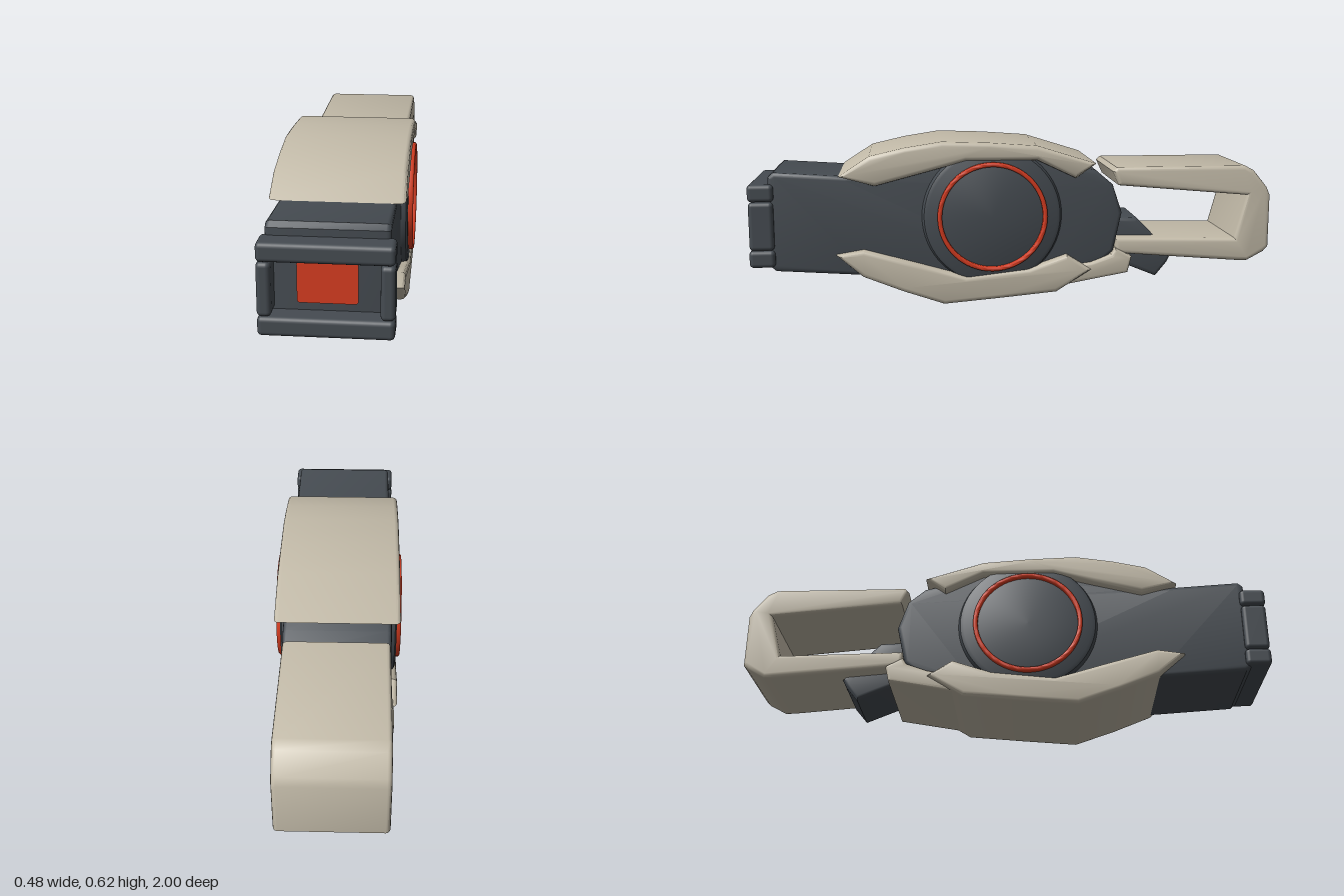
import * as THREE from 'three';
import { toCreasedNormals } from 'three/addons/utils/BufferGeometryUtils.js';
import { RoundedBoxGeometry } from 'three/addons/geometries/RoundedBoxGeometry.js';

const mat = (name, color) => {
  const m = new THREE.MeshStandardMaterial({ color });
  m.name = name;
  return m;
};

export function createModel() {
  const dark = mat('dark grey', 0x454b51);
  const cream = mat('warm cream', 0xc2baa8);
  const orange = mat('orange red', 0xd63c20);
  const model = new THREE.Group();
  model.name = 'device';

  const add = (name, geometry, material, x = 0, y = 0, z = 0) => {
    const mesh = new THREE.Mesh(geometry, material);
    mesh.name = name;
    mesh.position.set(x, y, z);
    model.add(mesh);
    return mesh;
  };

  // Side outline of [z, y] points, extruded across x with rounded edges
  const slab = (name, points, halfWidth, bevel, material) => {
    const shape = new THREE.Shape(points.map(([z, y]) => new THREE.Vector2(z, y)));
    const depth = 2 * (halfWidth - bevel);
    const g = new THREE.ExtrudeGeometry(shape, {
      depth, bevelEnabled: true, bevelThickness: bevel, bevelSize: bevel,
      bevelOffset: -bevel, bevelSegments: 3,
    });
    g.translate(0, 0, -depth / 2);
    g.rotateY(-Math.PI / 2);
    return add(name, toCreasedNormals(g, 0.6), material);
  };

  // Central body
  slab('body', [
    [0.925, 0.155], [0.925, 0.495], [0.905, 0.512], [0.64, 0.495], [0.5, 0.5],
    [0.28, 0.57], [-0.07, 0.565], [-0.31, 0.505], [-0.375, 0.45], [-0.412, 0.34],
    [-0.38, 0.19], [-0.3, 0.12], [-0.12, 0.09], [0.27, 0.06], [0.58, 0.115], [0.905, 0.137],
  ], 0.2, 0.016, dark);

  // Armour shells
  slab('upperShell', [
    [0.665, 0.497], [0.55, 0.572], [0.42, 0.602], [0.28, 0.624], [0.1, 0.618], [-0.08, 0.605],
    [-0.305, 0.535], [-0.228, 0.48], [-0.08, 0.55], [0.19, 0.55], [0.35, 0.507], [0.53, 0.46],
  ], 0.232, 0.017, cream);
  slab('lowerShell', [
    [0.678, 0.2], [0.58, 0.115], [0.43, 0.055], [0.275, 0.002], [0.06, 0.02], [-0.155, 0.04],
    [-0.29, 0.125], [-0.195, 0.185], [-0.05, 0.135], [0.19, 0.108], [0.38, 0.163], [0.575, 0.217],
  ], 0.232, 0.017, cream);
  slab('rearLowerShell', [
    [-0.13, 0.06], [-0.2, 0.066], [-0.435, 0.108], [-0.45, 0.17], [-0.385, 0.205],
    [-0.37, 0.18], [-0.29, 0.15], [-0.13, 0.13],
  ], 0.216, 0.012, cream);

  // Rear handle loop, open toward the body
  slab('handle', [
    [-0.375, 0.5], [-0.39, 0.515], [-0.895, 0.515], [-0.93, 0.497], [-0.985, 0.43],
    [-0.998, 0.4], [-0.998, 0.195], [-0.98, 0.175], [-0.915, 0.14], [-0.88, 0.14],
    [-0.39, 0.18], [-0.385, 0.24], [-0.86, 0.232], [-0.905, 0.4], [-0.4, 0.445],
  ], 0.195, 0.016, cream);

  // Trigger block passing through the lower arm
  slab('trigger', [
    [-0.38, 0.31], [-0.485, 0.306], [-0.55, 0.24], [-0.625, 0.155], [-0.61, 0.125],
    [-0.565, 0.07], [-0.43, 0.125], [-0.38, 0.2],
  ], 0.13, 0.015, dark);

  // Round hub with an orange ring on each side
  const hub = new THREE.LatheGeometry([
    [0, -0.224], [0.245, -0.224], [0.258, -0.218], [0.266, -0.2],
    [0.266, 0.2], [0.258, 0.218], [0.245, 0.224], [0, 0.224],
  ].map(([r, h]) => new THREE.Vector2(r, h)), 64);
  hub.rotateZ(-Math.PI / 2);
  add('hub', toCreasedNormals(hub, 0.6), dark, 0, 0.338, 0.09);

  const ring = new THREE.LatheGeometry([
    [0.191, 0.215], [0.208, 0.215], [0.208, 0.237], [0.203, 0.242],
    [0.196, 0.242], [0.191, 0.237], [0.191, 0.215],
  ].map(([r, h]) => new THREE.Vector2(r, h)), 64);
  ring.rotateZ(-Math.PI / 2);
  const ringGeometry = toCreasedNormals(ring, 0.9);
  for (const side of [1, -1]) {
    const r = add(side > 0 ? 'leftRing' : 'rightRing', ringGeometry, orange, 0, 0.338, 0.09);
    if (side < 0) r.rotation.y = Math.PI;
  }

  // Front frame
  const zBar = 0.952;
  for (const [name, y] of [['topFrameBar', 0.437], ['bottomFrameBar', 0.188]]) {
    add(name, new RoundedBoxGeometry(0.436, 0.065, 0.096, 3, 0.016), dark, 0, y, zBar);
  }
  for (const side of [1, -1]) {
    add(side > 0 ? 'leftFrameBar' : 'rightFrameBar',
      new RoundedBoxGeometry(0.047, 0.183, 0.092, 3, 0.016), dark, side * 0.195, 0.312, zBar);
  }

  // Front lens plate
  const w = 0.098, h = 0.07, r = 0.01;
  const lens = new THREE.Shape();
  [[w - r, h - r, 0], [-w + r, h - r, 1], [-w + r, -h + r, 2], [w - r, -h + r, 3]].forEach(
    ([x, y, q]) => lens.absarc(x, y, r, q * Math.PI / 2, (q + 1) * Math.PI / 2, false));
  add('frontLens', new THREE.ExtrudeGeometry(lens, { depth: 0.009, bevelEnabled: false }),
    orange, 0, 0.318, 0.924);

  return model;
}
